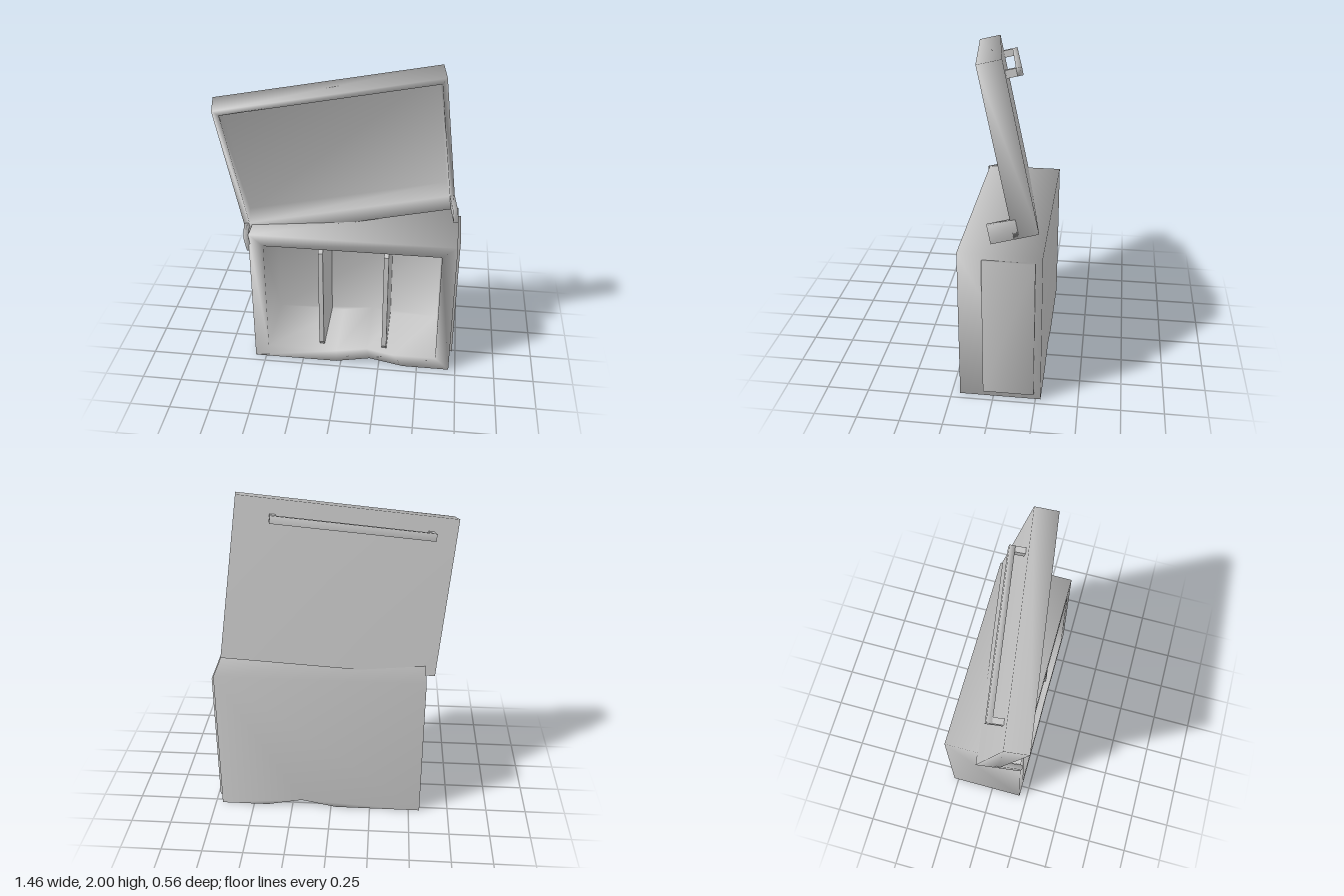
import * as THREE from 'three';
import { mergeVertices } from 'three/addons/utils/BufferGeometryUtils.js';

const material = new THREE.MeshStandardMaterial({ color: 0xcccccc });

function add(parent, name, geometry, x = 0, y = 0, z = 0) {
  const mesh = new THREE.Mesh(geometry, material);
  mesh.name = name;
  mesh.position.set(x, y, z);
  parent.add(mesh);
  return mesh;
}

// Shared-vertex normals, biased so the broad back faces stay flat
function softNormals(geometry) {
  geometry.deleteAttribute('uv');
  geometry.deleteAttribute('normal');
  const g = mergeVertices(geometry);
  g.computeVertexNormals();
  const n = g.attributes.normal;
  for (let i = 0; i < n.count; i++) n.setZ(i, n.getZ(i) * (n.getZ(i) < 0 ? 5 : 1));
  g.normalizeNormals();
  return g;
}

// Open-fronted tray from an outer and an inner counter-clockwise outline
function tray(outer, inner, back, floor, front) {
  const n = outer.length;
  const rings = [[outer, back], [outer, front], [inner, front], [inner, floor]];
  const positions = rings.flatMap(([loop, z]) => loop.flatMap(([x, y]) => [x, y, z]));
  const index = [];
  for (let r = 0; r < 3; r++) {
    for (let i = 0; i < n; i++) {
      const j = (i + 1) % n;
      const a = r * n + i, b = r * n + j, c = b + n, d = a + n;
      index.push(a, b, c, a, c, d);
    }
  }
  const cap = (loop) => THREE.ShapeUtils.triangulateShape(loop.map(([x, y]) => new THREE.Vector2(x, y)), []);
  for (const [a, b, c] of cap(outer)) index.push(a, c, b);
  for (const [a, b, c] of cap(inner)) index.push(3 * n + a, 3 * n + b, 3 * n + c);
  const g = new THREE.BufferGeometry();
  g.setAttribute('position', new THREE.Float32BufferAttribute(positions, 3));
  g.setIndex(index);
  return softNormals(g);
}

const box = (w, h, d) => new THREE.BoxGeometry(w, h, d);

export function createModel() {
  const model = new THREE.Group();
  model.name = 'openCase';

  // Case body, with a raised dent in its bottom wall
  const body = new THREE.Group();
  body.name = 'body';
  model.add(body);
  const outer = [[-0.57, 0], [-0.03, 0], [0.19, 0.045], [0.41, 0], [0.707, 0], [0.707, 0.945], [-0.57, 0.945]];
  const inner = [[-0.48, 0.085], [-0.03, 0.085], [0.17, 0.122], [0.34, 0.085], [0.617, 0.085], [0.617, 0.87], [-0.48, 0.87]];
  add(body, 'caseShell', tray(outer, inner, -0.28, -0.25, 0.2));

  // Thin panel on the left side
  add(body, 'sidePanel', softNormals(box(0.04, 0.87, 0.3)), 0.706, 0.475, -0.09);

  // Dividers with chamfered front corners
  const profile = new THREE.Shape([[-0.25, 0.09], [0.14, 0.09], [0.17, 0.13], [0.17, 0.82], [0.14, 0.85], [-0.25, 0.85]]
    .map(([z, y]) => new THREE.Vector2(-z, y)));
  for (const x of [-0.13, 0.28]) {
    const g = new THREE.ExtrudeGeometry(profile, { depth: 0.03, bevelEnabled: false });
    g.rotateY(Math.PI / 2);
    add(body, 'divider', g, x - 0.015, 0, 0);
  }

  // Lid, tipped back and twisted away from the body
  const lid = new THREE.Group();
  lid.name = 'lid';
  const u = new THREE.Vector3(0.98, 0.14, -0.14).normalize();
  const w = u.clone().cross(new THREE.Vector3(-0.1, 0.97, 0.22)).normalize();
  const v = w.clone().cross(u);
  lid.quaternion.setFromRotationMatrix(new THREE.Matrix4().makeBasis(u, v, w));
  lid.position.set(-0.63, 0.878, -0.068);
  model.add(lid);

  const W = 1.316, H = 0.97, D = 0.14;
  const rect = (x0, y0, x1, y1) => [[x0, y0], [x1, y0], [x1, y1], [x0, y1]];
  add(lid, 'lidShell', tray(rect(0, 0, W, H), rect(0.035, 0.11, W - 0.03, H - 0.035), 0, 0.004, D));

  // Hinge arms reaching forward from the lower corners
  for (const x of [0.015, W - 0.015]) {
    add(lid, 'hingeArm', softNormals(box(0.03, 0.11, 0.16)), x, 0.056, D + 0.05);
  }

  // Handle on the back of the lid
  const handle = new THREE.Group();
  handle.name = 'handle';
  handle.position.set(0.628, H - 0.11, 0);
  lid.add(handle);
  add(handle, 'handleBar', softNormals(box(0.97, 0.045, 0.033)), 0, 0, -0.076);
  for (const side of [-1, 1]) add(handle, 'handlePost', box(0.035, 0.045, 0.07), side * 0.467, 0, -0.027);

  return model;
}
